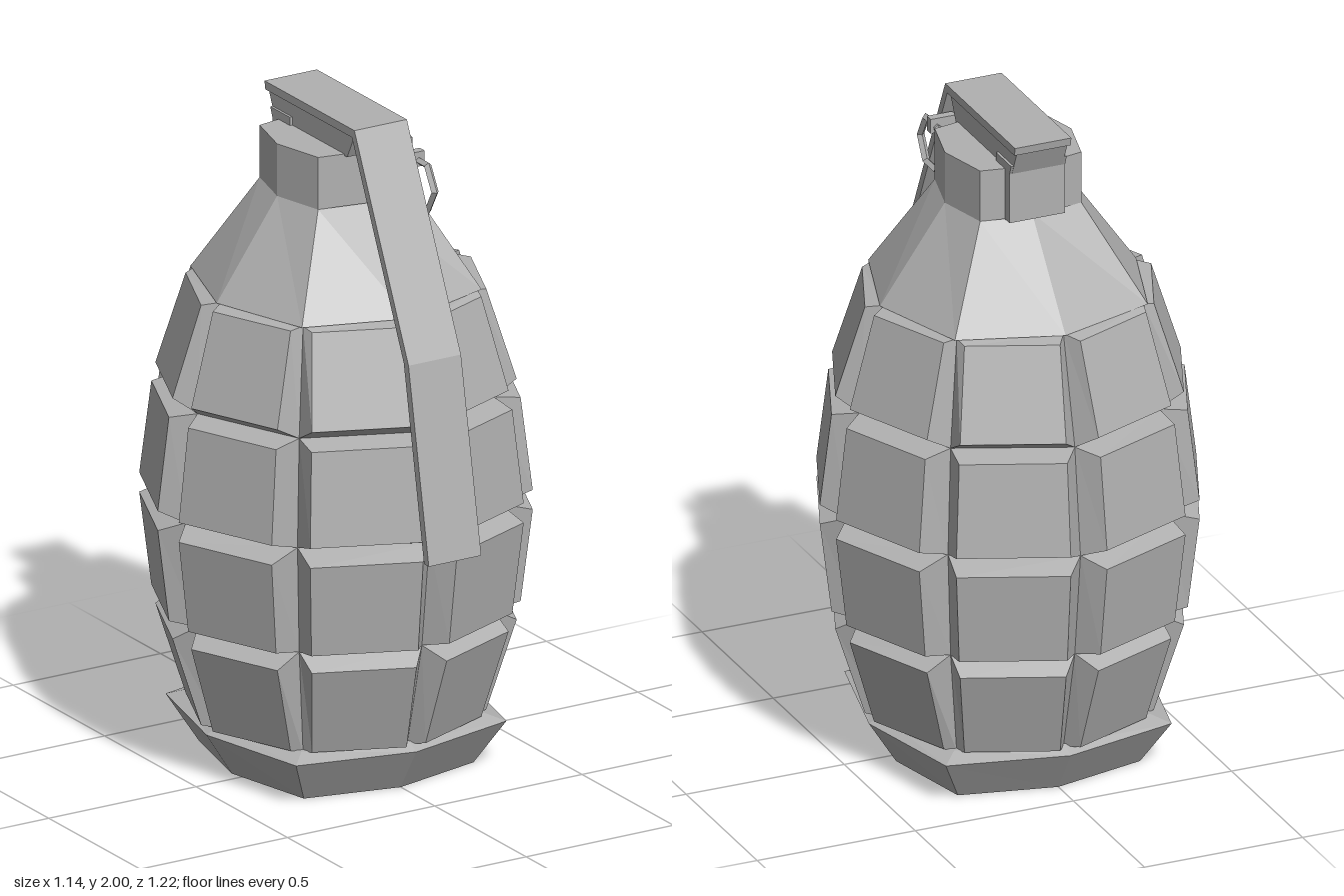
import * as THREE from 'three';

const metal = new THREE.MeshStandardMaterial({ color: 0xb0b0b0 });
metal.name = 'grey metal';

// Faceted mesh from a list of quads (corners counter-clockwise from outside)
function quadGeometry(quads) {
  const pos = [];
  for (const [a, b, c, d] of quads) pos.push(...a, ...b, ...c, ...a, ...c, ...d);
  const g = new THREE.BufferGeometry();
  g.setAttribute('position', new THREE.Float32BufferAttribute(pos, 3));
  g.computeVertexNormals();
  return g;
}

// Eight-sided ring: reach along x, along z, and the corner coordinate
function ring(y, rx, rz, diag) {
  return [[1, 0], [1, 1], [0, 1], [-1, 1], [-1, 0], [-1, -1], [0, -1], [1, -1]]
    .map(([x, z]) => (x && z ? [x * diag, y, z * diag] : [x * rx, y, z * rz]));
}

// Closed stack of rings, from the bottom up
function stack(rings) {
  const quads = [];
  for (let i = 0; i + 1 < rings.length; i++) {
    for (let k = 0; k < 8; k++) {
      const n = (k + 1) % 8;
      quads.push([rings[i][k], rings[i + 1][k], rings[i + 1][n], rings[i][n]]);
    }
  }
  const bottom = rings[0], top = rings[rings.length - 1];
  const cb = [0, bottom[0][1], 0], ct = [0, top[0][1], 0];
  for (let k = 0; k < 8; k += 2) {
    const n = (k + 1) % 8, m = (k + 2) % 8;
    quads.push([cb, bottom[k], bottom[n], bottom[m]], [ct, top[m], top[n], top[k]]);
  }
  return quadGeometry(quads);
}

// Side profile in (z, y), extruded across x
function sideExtrude(points, width) {
  const shape = new THREE.Shape(points.map(([z, y]) => new THREE.Vector2(z, y)));
  const g = new THREE.ExtrudeGeometry(shape, { depth: width, bevelEnabled: false });
  return g.rotateY(-Math.PI / 2).translate(width / 2, 0, 0);
}

export function createModel() {
  const model = new THREE.Group();
  model.name = 'grenade';
  const add = (name, geometry, parent = model) => {
    const mesh = new THREE.Mesh(geometry, metal);
    mesh.name = name;
    parent.add(mesh);
    return mesh;
  };

  const body = new THREE.Group();
  body.name = 'body';
  body.position.z = -0.04;
  model.add(body);

  // Base, shoulder and neck
  add('base', stack([ring(0, 0.354, 0.354, 0.288), ring(0.135, 0.44, 0.44, 0.357), ring(0.155, 0.4, 0.4, 0.31)]), body);
  add('shoulder', stack([ring(1.455, 0.405, 0.405, 0.305), ring(1.745, 0.2, 0.17, 0.16)]), body);
  add('neck', stack([ring(1.745, 0.2, 0.19, 0.16), ring(1.905, 0.2, 0.19, 0.16)]), body);

  // Groove lines between the rows of segments
  const grooves = [
    ring(0.145, 0.39, 0.39, 0.295), ring(0.472, 0.47, 0.47, 0.33), ring(0.8, 0.51, 0.51, 0.345),
    ring(1.128, 0.47, 0.47, 0.33), ring(1.455, 0.39, 0.39, 0.295),
  ];
  // Outer face of each row: [y, distance from axis, half width] below and above
  const rows = [
    [[0.155, 0.417, 0.138], [0.43, 0.503, 0.153]],
    [[0.487, 0.514, 0.156], [0.77, 0.548, 0.165]],
    [[0.83, 0.548, 0.165], [1.113, 0.514, 0.156]],
    [[1.17, 0.503, 0.153], [1.445, 0.417, 0.138]],
  ];
  rows.forEach(([low, high], r) => {
    for (let k = 0; k < 8; k++) {
      const n = (k + 1) % 8, a = (k + 0.5) * Math.PI / 4;
      const corner = ([y, d, w], s) => [
        Math.cos(a) * d - Math.sin(a) * w * s, y, Math.sin(a) * d + Math.cos(a) * w * s];
      const inner = [grooves[r][k], grooves[r + 1][k], grooves[r + 1][n], grooves[r][n]];
      const outer = [corner(low, -1), corner(high, -1), corner(high, 1), corner(low, 1)];
      const quads = [outer];
      for (let j = 0; j < 4; j++) {
        const m = (j + 1) % 4;
        quads.push([inner[j], inner[m], outer[m], outer[j]]);
      }
      add('segment', quadGeometry(quads), body);
    }
  });

  // Bent safety lever with its mount on the neck
  add('lever', sideExtrude([
    [0.611, 0.787], [0.5, 1.37], [0.204, 2], [-0.288, 2], [-0.283, 1.975],
    [0.19, 1.975], [0.474, 1.37], [0.585, 0.787],
  ], 0.178));
  add('leverMount', sideExtrude([
    [0.19, 1.977], [-0.28, 1.977], [-0.246, 1.9], [0.15, 1.9],
  ], 0.16));
  add('rearPost', sideExtrude([
    [-0.15, 1.745], [-0.15, 1.93], [-0.258, 1.93], [-0.246, 1.9], [-0.246, 1.745],
  ], 0.176));

  // Pin and six-sided pull ring
  add('pin', new THREE.BoxGeometry(0.08, 0.045, 0.027).translate(0.1, 1.877, 0.206));
  const pull = new THREE.TorusGeometry(0.08, 0.012, 4, 6).toNonIndexed();
  pull.computeVertexNormals();
  add('pullRing', pull.rotateY(Math.PI / 2).translate(0.12, 1.803, 0.228));

  return model;
}
